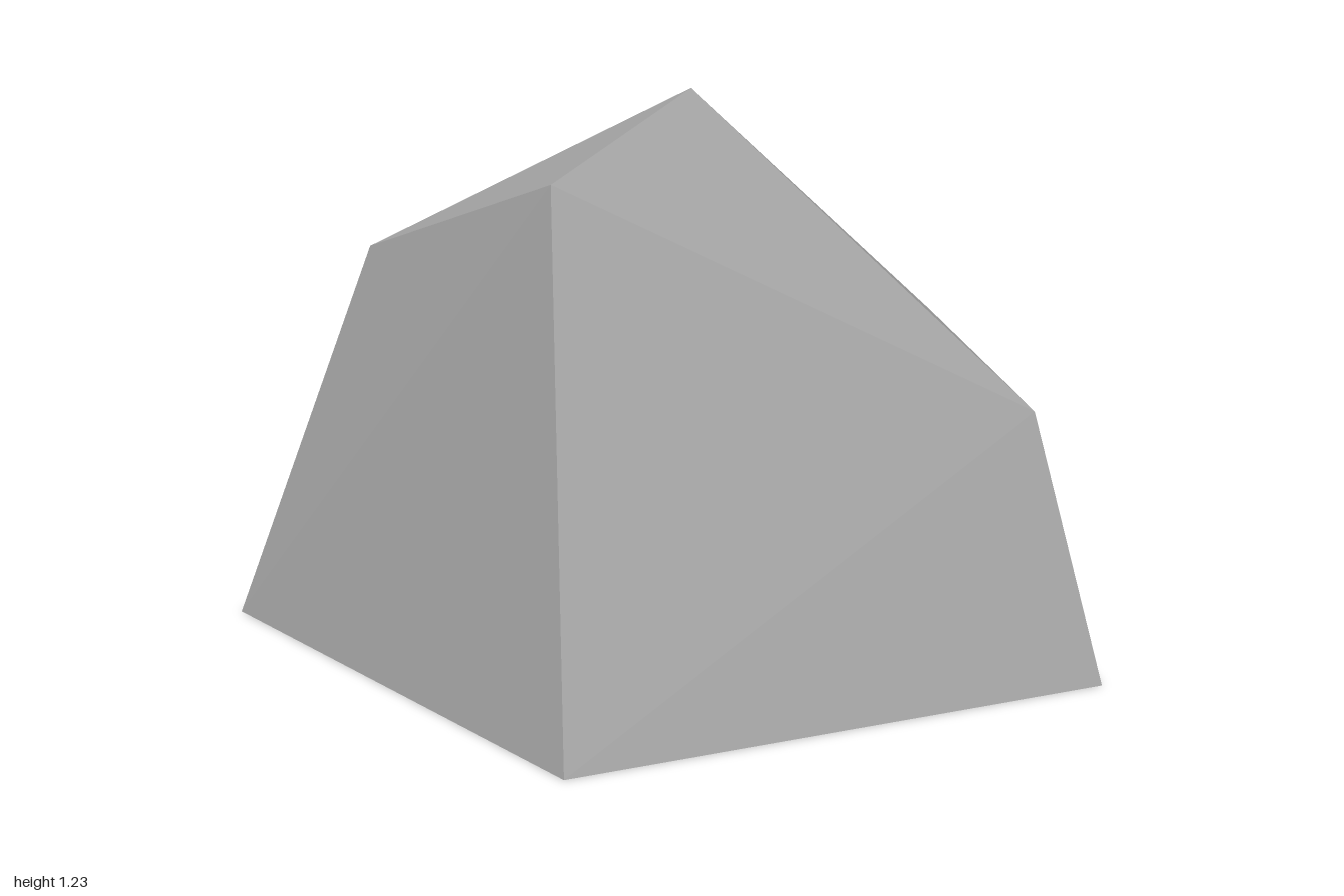
import * as THREE from 'three';

export function createModel() {
  const group = new THREE.Group();
  group.name = 'rock';

  const stone = new THREE.MeshStandardMaterial({ color: 0xa8a8a8, flatShading: true, side: THREE.DoubleSide });
  stone.name = 'stone grey';

  // Two five-cornered rings and a peak, listed clockwise from above
  const base = [[-0.96, 0, 0.605], [-0.96, 0, -0.66], [0.1, 0, -1], [0.955, 0, 0], [0.235, 0, 0.995]];
  const shoulder = [[-0.75, 0.855, 0.34], [-0.725, 0.31, -0.485], [0.12, 0.577, -0.855], [0.77, 0.582, -0.02], [0.035, 1.115, 0.72]];
  const peak = [-0.095, 1.225, -0.02];

  const facets = (name, corners) => {
    const geometry = new THREE.BufferGeometry();
    geometry.setAttribute('position', new THREE.Float32BufferAttribute(corners.flat(), 3));
    geometry.computeVertexNormals();
    const mesh = new THREE.Mesh(geometry, stone);
    mesh.name = name;
    group.add(mesh);
  };

  // Sloping sides rise to the shoulder, then facets meet at the peak; the underside is open
  const sides = [], crown = [];
  base.forEach((corner, i) => {
    const j = (i + 1) % base.length;
    sides.push(base[j], corner, shoulder[i], base[j], shoulder[i], shoulder[j]);
    crown.push(shoulder[j], shoulder[i], peak);
  });
  facets('rockSides', sides);
  facets('rockCrown', crown);

  return group;
}
